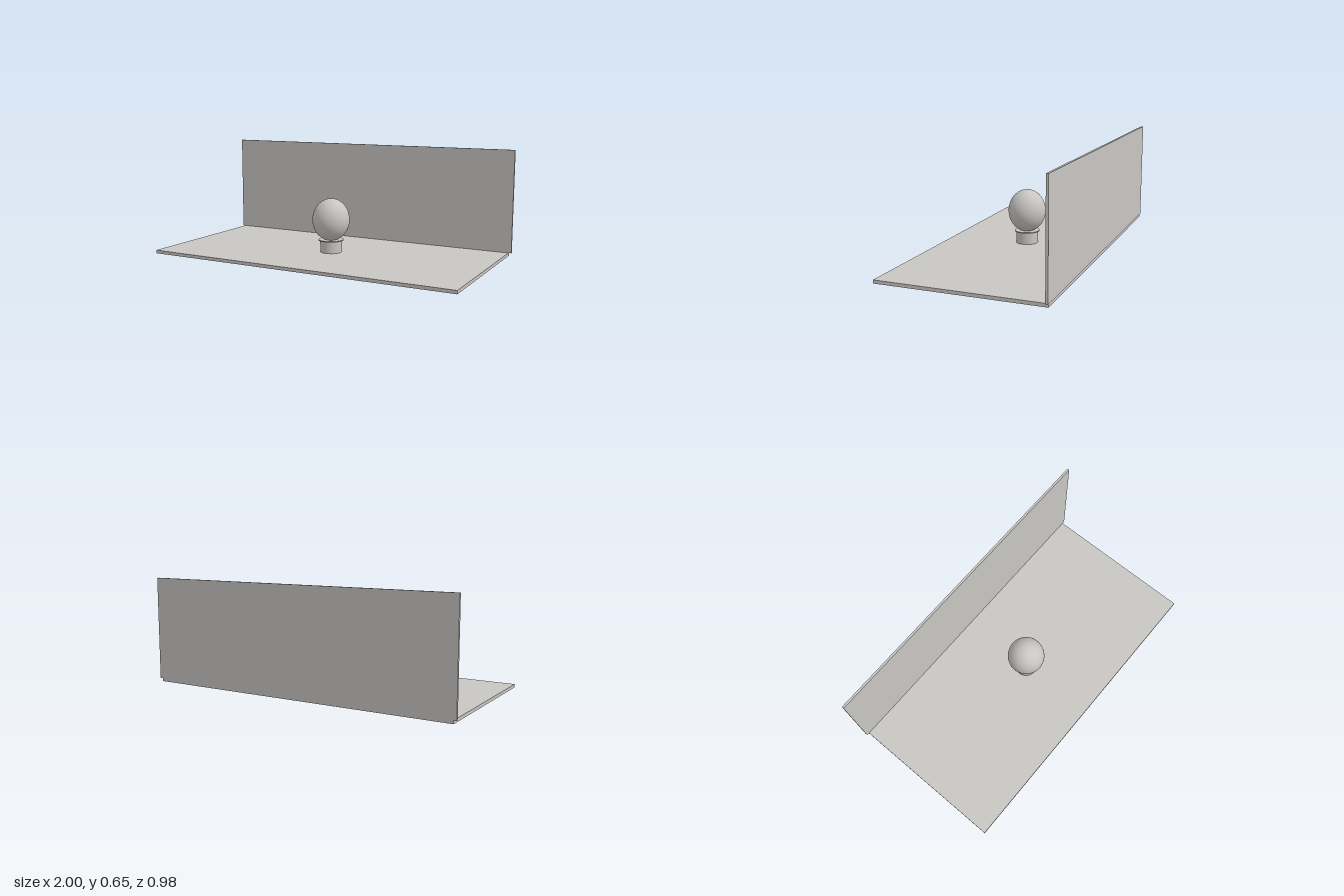
import * as THREE from 'three';

export function createModel() {
  const model = new THREE.Group();
  const paleGrey = new THREE.MeshStandardMaterial({ color: 0xc8c6c3 });
  paleGrey.name = 'paleGrey';

  const add = (name, geometry, x, y, z) => {
    const mesh = new THREE.Mesh(geometry, paleGrey);
    mesh.name = name;
    mesh.position.set(x, y, z);
    model.add(mesh);
    return mesh;
  };

  // Floor slab and the slightly wider wall behind it
  add('floor', new THREE.BoxGeometry(1.966, 0.02, 0.979), 0, 0.01, 0.0015);
  add('backWall', new THREE.BoxGeometry(2, 0.635, 0.014), 0, 0.3375, -0.484);

  // Round pedestal with a thin overhanging rim
  const cz = 0.003;
  add('pedestal', new THREE.CylinderGeometry(0.067, 0.067, 0.073, 64), 0, 0.0565, cz);
  add('pedestalRim', new THREE.CylinderGeometry(0.077, 0.077, 0.006, 64), 0, 0.095, cz);

  // Egg-shaped ball made of two half shells meeting at a seam
  const halfShell = (name, start, height) => {
    const geometry = new THREE.SphereGeometry(1, 64, 24, 0, Math.PI * 2, start, Math.PI / 2);
    geometry.scale(0.115, height, 0.115);
    add(name, geometry, 0, 0.221, cz);
  };
  halfShell('ballUpperHalf', 0, 0.132);
  halfShell('ballLowerHalf', Math.PI / 2, 0.13);

  return model;
}
